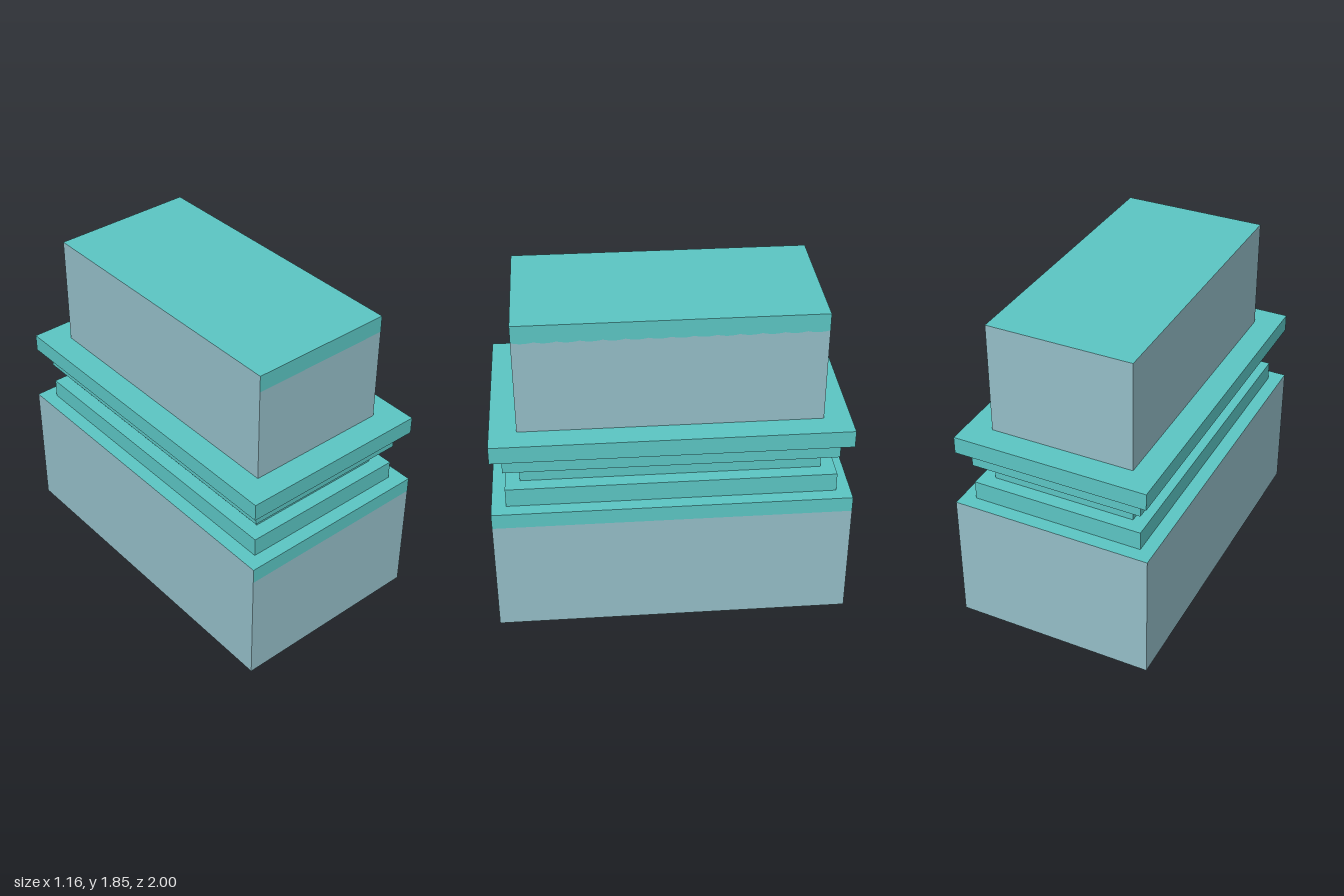
import * as THREE from 'three';

export function createModel() {
  const model = new THREE.Group();
  model.name = 'steppedPedestal';

  const teal = new THREE.MeshStandardMaterial({ color: 0x5cc6c4 });
  teal.name = 'teal';
  const grey = new THREE.MeshStandardMaterial({ color: 0x95bec8 });
  grey.name = 'blueGrey';

  // Face order: +x, -x, top, bottom, +z, -z
  const walls = [grey, grey, teal, teal, grey, grey];
  const band = [teal, grey, teal, teal, teal, grey]; // painted on two sides only

  // Centred block given by half width, half depth, bottom and top
  function block(name, hx, hz, y0, y1, material) {
    const mesh = new THREE.Mesh(new THREE.BoxGeometry(hx * 2, y1 - y0, hz * 2), material);
    mesh.name = name;
    mesh.position.y = (y0 + y1) / 2;
    model.add(mesh);
  }

  // Lower body with its painted rim
  block('base', 0.578, 1, 0, 0.68, walls);
  block('baseRim', 0.578, 1, 0.68, 0.77, band);

  // Stepped waist
  block('lowerStep', 0.499, 0.919, 0.77, 0.88, teal);
  block('neck', 0.417, 0.837, 0.88, 0.995, teal);
  block('upperStep', 0.502, 0.925, 0.995, 1.1, teal);
  block('ledge', 0.564, 0.988, 1.1, 1.2, teal);

  // Upper body with its painted rim
  block('tower', 0.417, 0.837, 1.2, 1.748, walls);
  block('towerRim', 0.417, 0.837, 1.748, 1.845, band);

  // Shallow scalloped lower edge of the rim along the +x side
  const count = 14, half = 0.837, step = (half * 2) / count;
  const edge = new THREE.Shape();
  edge.moveTo(half, 0.004);
  edge.lineTo(-half, 0.004);
  edge.lineTo(-half, 0);
  for (let i = 0; i < count; i++) {
    const s = -half + i * step;
    edge.quadraticCurveTo(s + step / 2, -0.016, s + step, 0);
  }
  const scallops = new THREE.Mesh(new THREE.ShapeGeometry(edge, 6), teal);
  scallops.name = 'scallopedTrim';
  scallops.rotation.y = Math.PI / 2;
  scallops.position.set(0.418, 1.748, 0);
  model.add(scallops);

  return model;
}
